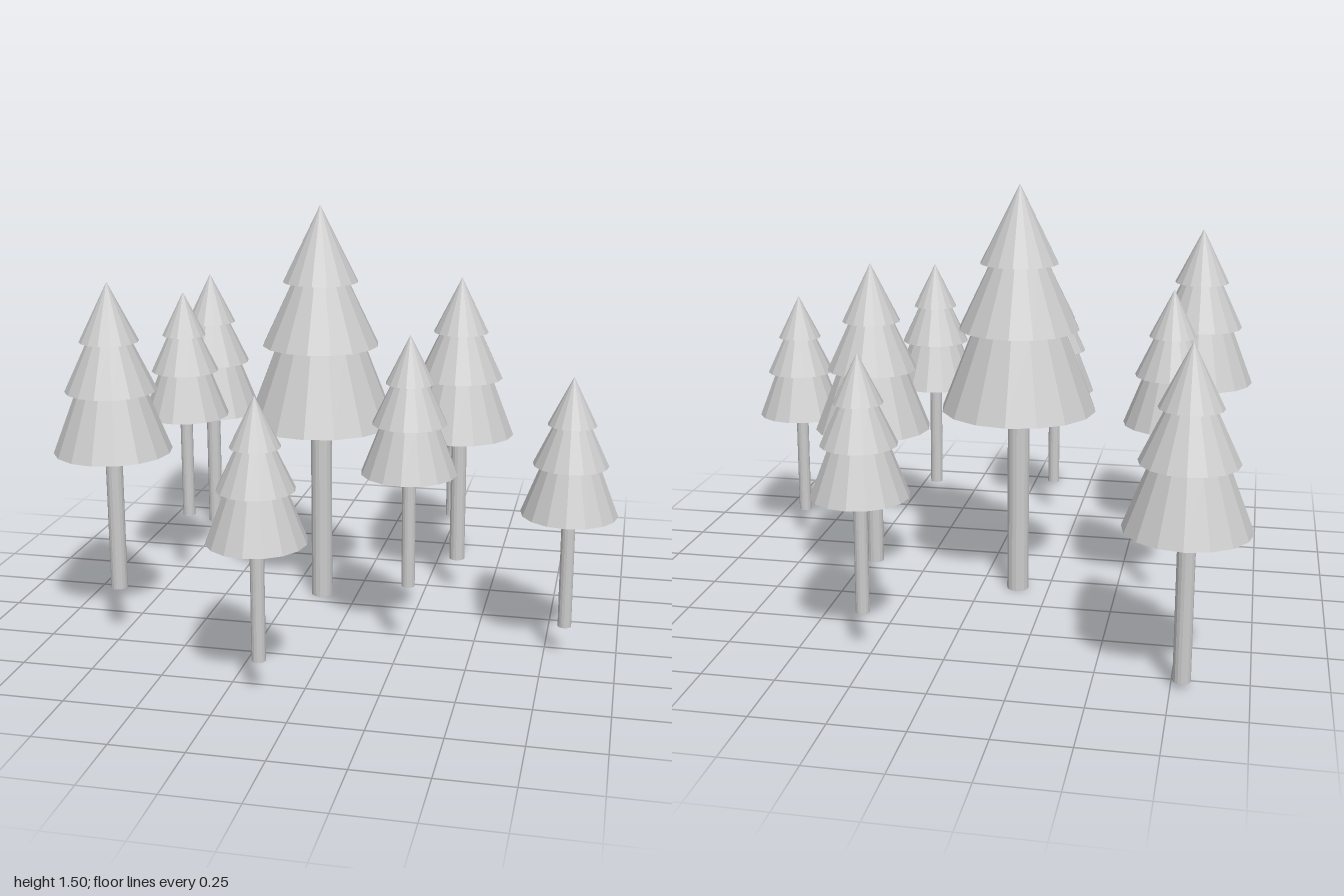
import * as THREE from 'three';

const SIDES = 16;
const material = new THREE.MeshStandardMaterial({ color: 0xcccccc, flatShading: true });

// Unit tree: full-size proportions, trunk foot at y = 0
const TRUNK = { radius: 0.04, height: 0.72 };
const TIERS = [
  { name: 'lowerFoliage', bottom: 0.695, top: 0.99, rBottom: 0.28, rTop: 0.165 },
  { name: 'middleFoliage', bottom: 0.99, top: 1.225, rBottom: 0.217, rTop: 0.105 },
  { name: 'topFoliage', bottom: 1.225, top: 1.505, rBottom: 0.14, rTop: 0 },
];

// Tree sizes relative to the full-size tree
const BIG = 1, MEDIUM = 0.733, SMALL = 0.59;

// Foot position and size of every tree: [x, y, z, scale]
const TREES = [
  [-0.135, 0, -0.085, BIG],
  [-0.785, 0.02, -0.795, MEDIUM],
  [0.37, 0.13, -0.235, MEDIUM],
  [-0.755, 0.185, 0.455, MEDIUM],
  [0.28, 0.14, -0.73, SMALL],
  [-0.685, 0.27, -0.135, SMALL],
  [0.28, 0.245, 0.38, SMALL],
  [0.82, 0.112, 0.31, SMALL],
  [-0.135, 0.125, 0.83, SMALL],
];

// A faceted, closed frustum standing between two heights
function frustum(name, rTop, rBottom, bottom, top) {
  const geometry = rTop > 0
    ? new THREE.CylinderGeometry(rTop, rBottom, top - bottom, SIDES)
    : new THREE.ConeGeometry(rBottom, top - bottom, SIDES);
  const mesh = new THREE.Mesh(geometry, material);
  mesh.name = name;
  mesh.position.y = (top + bottom) / 2;
  return mesh;
}

// Trunk plus three stacked skirts of foliage
function createTree() {
  const tree = new THREE.Group();
  tree.add(frustum('trunk', TRUNK.radius, TRUNK.radius, 0, TRUNK.height));
  for (const t of TIERS) tree.add(frustum(t.name, t.rTop, t.rBottom, t.bottom, t.top));
  return tree;
}

export function createModel() {
  const grove = new THREE.Group();
  grove.name = 'pineGrove';
  TREES.forEach(([x, y, z, scale], i) => {
    const tree = createTree();
    tree.name = `pineTree${i + 1}`;
    tree.position.set(x, y, z);
    tree.scale.setScalar(scale);
    grove.add(tree);
  });
  return grove;
}
